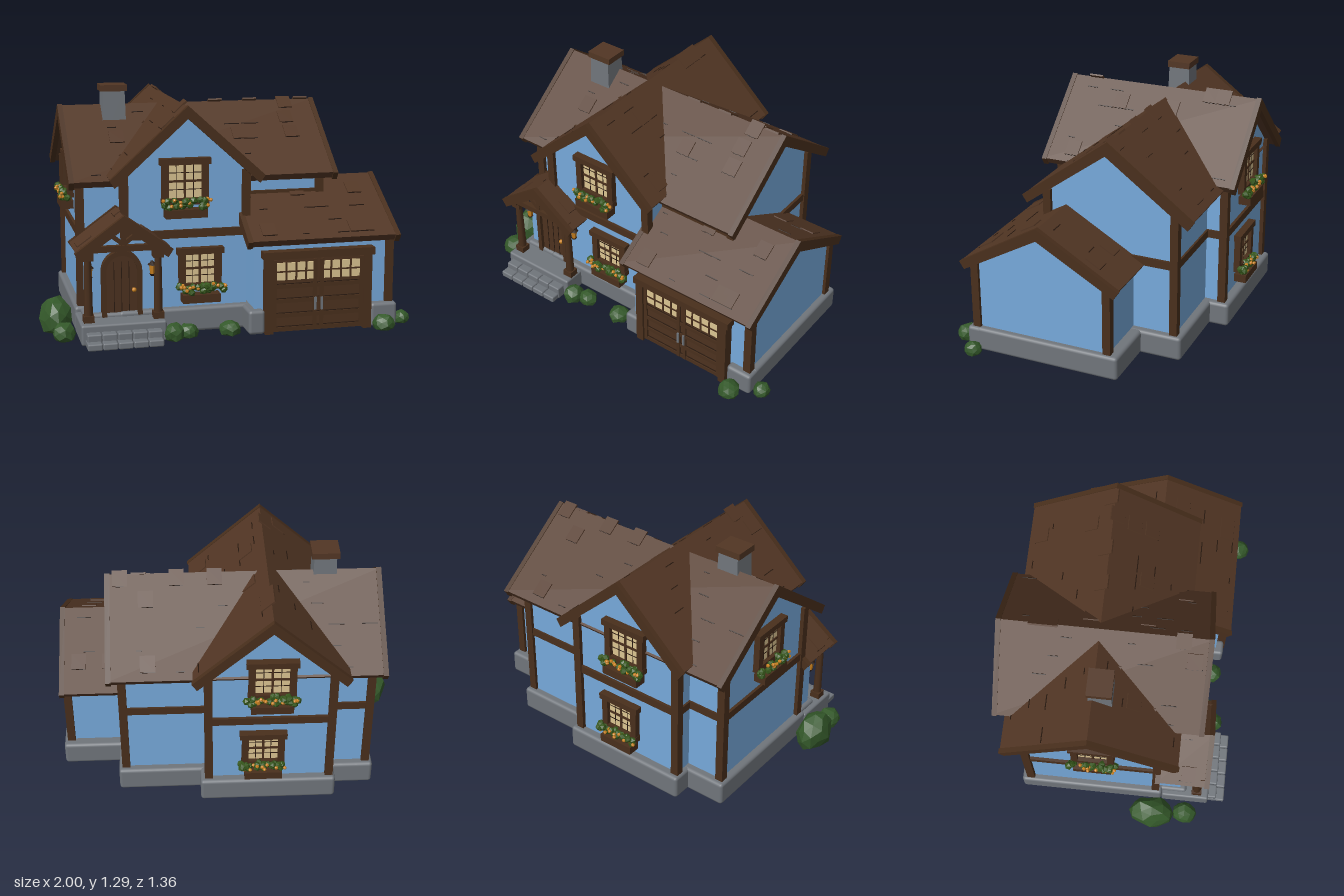
import * as THREE from 'three';
import { RoundedBoxGeometry } from 'three/addons/geometries/RoundedBoxGeometry.js';

const mat = (name, color, flatShading = false) => {
  const m = new THREE.MeshStandardMaterial({ color, flatShading });
  m.name = name;
  return m;
};
const M = {
  wall: mat('wall blue', 0x76a9db), roof: mat('roof brown', 0x523624), timber: mat('timber brown', 0x492f1c),
  door: mat('door brown', 0x4d321f), stone: mat('stone grey', 0x70757b), pane: mat('pane cream', 0xdcc592),
  bush: mat('bush green', 0x34592a, true), leaf: mat('leaf green', 0x35561a, true),
  flower: mat('flower orange', 0xc8801f, true), dark: mat('seam brown', 0x2a1a10),
};
let seed = 7;
const rnd = () => (seed = (seed * 16807) % 2147483647) / 2147483647;

export function createModel() {
  const root = new THREE.Group();
  const add = (name, geo, m, x = 0, y = 0, z = 0, parent = root) => {
    const mesh = new THREE.Mesh(geo, m);
    mesh.name = name;
    mesh.position.set(x, y, z);
    parent.add(mesh);
    return mesh;
  };
  const group = (name, x = 0, y = 0, z = 0, ry = 0, parent = root) => {
    const g = new THREE.Group();
    g.name = name;
    g.position.set(x, y, z);
    g.rotation.y = ry;
    parent.add(g);
    return g;
  };
  // box given by its low and high corners
  const span = (name, m, x0, x1, y0, y1, z0, z1, parent = root, r = 0) => {
    const s = [x1 - x0, y1 - y0, z1 - z0];
    const geo = r ? new RoundedBoxGeometry(...s, 2, r) : new THREE.BoxGeometry(...s);
    return add(name, geo, m, (x0 + x1) / 2, (y0 + y1) / 2, (z0 + z1) / 2, parent);
  };
  const extrude = (pts, z0, z1) => {
    const shape = new THREE.Shape(pts.map(p => new THREE.Vector2(...p)));
    return new THREE.ExtrudeGeometry(shape, { depth: z1 - z0, bevelEnabled: false }).translate(0, 0, z0);
  };
  const chevron = (w, peak, eave, t) =>
    [[0, peak], [-w, eave], [-w + t * 0.5, eave - t * 0.75], [0, peak - t * 1.25], [w - t * 0.5, eave - t * 0.75], [w, eave]];
  // straight square beam between two points in the xy plane
  const strut = (name, x0, y0, x1, y1, z, t, parent) => {
    const b = add(name, new THREE.BoxGeometry(Math.hypot(x1 - x0, y1 - y0), t, t), M.timber, (x0 + x1) / 2, (y0 + y1) / 2, z, parent);
    b.rotation.z = Math.atan2(y1 - y0, x1 - x0);
  };

  // gabled wing: walls, roof slab, rake boards and shingle seams, ridge along local z
  function wing(name, o) {
    const g = group(name, o.x || 0, 0, o.z || 0, o.alongX ? Math.PI / 2 : 0);
    const slope = (o.peak - o.eave) / o.w, top = o.peak - 0.04;
    const ys = top - slope * o.wall;
    add('walls', extrude([[-o.wall, 0.1], [o.wall, 0.1], [o.wall, ys], [0, top], [-o.wall, ys]], ...o.walls), M.wall, 0, 0, 0, g);
    add('roof', extrude(chevron(o.w, o.peak, o.eave, 0.045), ...o.roof), M.roof, 0, 0, 0, g);
    const [r0, r1] = o.roof;
    for (const z of [r0 - 0.006, r1 - 0.022])
      add('rakeBoard', extrude(chevron(o.w + 0.006, o.peak + 0.006, o.eave - 0.002, 0.055), z, z + 0.028), M.timber, 0, 0, 0, g);
    const a = Math.atan(slope), len = o.w / Math.cos(a);
    for (const s of [-1, 1]) {
      const side = group('roofSide', 0, o.peak, 0, 0, g);
      side.rotation.z = -s * a;
      const n = Math.round((r1 - r0) * 16);
      for (let i = 0; i < n; i++) {
        const d = s * len * (0.12 + 0.2 * Math.floor(rnd() * 5)), z = r0 + 0.07 + rnd() * (r1 - r0 - 0.14);
        add('shingleSeam', new THREE.BoxGeometry(0.005, 0.004, 0.03 + rnd() * 0.06), M.dark, d, 0.001, z, side);
        if (i % 3 === 0) add('shingle', new THREE.BoxGeometry(0.09, 0.01, 0.08), M.roof, d - s * 0.045, 0.001, z, side);
      }
    }
    return g;
  }
  wing('mainWing', { z: -0.125, alongX: true, w: 0.475, peak: 1.175, eave: 0.825, wall: 0.365, walls: [-0.78, 0.55], roof: [-0.84, 0.62] });
  wing('crossWing', { x: -0.235, w: 0.41, peak: 1.22, eave: 0.85, wall: 0.335, walls: [-0.59, 0.385], roof: [-0.66, 0.465] });
  wing('garageWing', { z: 0.135, alongX: true, w: 0.45, peak: 0.775, eave: 0.515, wall: 0.385, walls: [0.11, 0.87], roof: [0.065, 0.9] });
  wing('porchWing', { x: -0.588, w: 0.252, peak: 0.67, eave: 0.49, wall: 0.18, walls: [0.2, 0.385], roof: [0.24, 0.53] });

  // stone foundation
  const F = [[-0.82, 0.59, -0.535, 0.28], [-0.6, 0.14, -0.64, 0.425], [0.08, 0.905, -0.31, 0.51],
    [0.07, 0.16, 0.4, 0.565], [0.755, 0.905, 0.4, 0.565], [-0.79, -0.4, 0.2, 0.42]];
  F.forEach(([x0, x1, z0, z1], i) => span('foundation', M.stone, x0, x1, 0, 0.135 - i * 0.001, z0, z1, root, 0.018));

  // corner posts and floor beams
  const post = (x, z, y0, y1, t = 0.022) => span('cornerPost', M.timber, x - t, x + t, y0, y1, z - t, z + t);
  [[-0.78, 0.24, 0.12, 0.85], [-0.78, -0.485, 0.12, 0.85], [0.55, 0.24, 0.6, 0.85], [0.55, -0.485, 0.12, 0.85],
    [-0.565, 0.385, 0.53, 0.87], [0.095, 0.385, 0.53, 0.87], [-0.565, -0.59, 0.12, 0.87], [0.095, -0.59, 0.12, 0.87],
    [0.865, 0.515, 0.12, 0.53], [0.865, -0.245, 0.12, 0.53]].forEach(p => post(...p));
  const beam = (x0, x1, z0, z1, y = 0.535) => span('floorBeam', M.timber, x0 - 0.016, x1 + 0.016, y - 0.022, y + 0.022, z0 - 0.016, z1 + 0.016);
  beam(-0.565, 0.095, 0.385, 0.385);
  beam(-0.565, 0.095, -0.59, -0.59);
  beam(-0.565, -0.565, -0.59, -0.485);
  beam(0.095, 0.095, -0.59, -0.485);
  beam(-0.78, -0.565, -0.485, -0.485);
  beam(0.095, 0.55, -0.485, -0.485);
  beam(-0.78, -0.78, -0.485, 0.24);
  beam(0.55, 0.55, -0.485, -0.2);
  beam(-0.78, -0.565, 0.24, 0.24);
  beam(0.095, 0.55, 0.24, 0.24, 0.7);

  // chimney
  const stack = new THREE.CylinderGeometry(0.084, 0.096, 0.3, 4, 1).rotateY(Math.PI / 4);
  stack.computeVertexNormals();
  const chimney = add('chimney', stack.toNonIndexed(), M.stone, -0.545, 1.12, -0.085);
  chimney.geometry.computeVertexNormals();
  span('chimneyCap', M.roof, -0.62, -0.472, 1.255, 1.29, -0.152, -0.02);

  // window with frame, glazing bars and flower box, facing local +z, origin at the pane centre
  function windowUnit(x, y, z, ry, w, h) {
    const g = group('window', x, y, z, ry);
    const a = w / 2, b = h / 2;
    span('pane', M.pane, -a, a, -b, b, 0, 0.012, g);
    for (const s of [-1, 1]) span('frameSide', M.timber, s * (a + 0.015) - 0.018, s * (a + 0.015) + 0.018, -b - 0.03, b + 0.01, 0, 0.035, g);
    span('frameTop', M.timber, -a - 0.045, a + 0.045, b, b + 0.034, 0, 0.042, g);
    span('frameSill', M.timber, -a - 0.035, a + 0.035, -b - 0.035, -b, 0, 0.035, g);
    span('bar', M.timber, -0.006, 0.006, -b, b, 0, 0.018, g);
    span('bar', M.timber, -a, a, -0.006, 0.006, 0, 0.018, g);
    for (const s of [-1, 1]) {
      span('thinBar', M.dark, s * a / 2 - 0.002, s * a / 2 + 0.002, -b, b, 0, 0.014, g);
      span('thinBar', M.dark, -a, a, s * b / 2 - 0.002, s * b / 2 + 0.002, 0, 0.014, g);
    }
    span('flowerBox', M.timber, -a - 0.02, a + 0.02, -b - 0.1, -b - 0.055, 0, 0.07, g);
    for (let i = 0; i < 34; i++) {
      const bloom = i % 3 === 0, r = bloom ? 0.011 : 0.021;
      add(bloom ? 'bloom' : 'leaf', new THREE.IcosahedronGeometry(r, 0), bloom ? M.flower : M.leaf,
        (rnd() - 0.5) * (w + 0.09), -b - 0.045 + rnd() * 0.04 + (bloom ? 0.01 : 0), 0.035 + rnd() * 0.03 + (bloom ? 0.018 : 0), g)
        .rotation.set(rnd() * 3, rnd() * 3, 0);
    }
  }
  windowUnit(-0.24, 0.82, 0.385, 0, 0.185, 0.18);
  windowUnit(-0.16, 0.345, 0.385, 0, 0.165, 0.16);
  windowUnit(-0.24, 0.82, -0.59, Math.PI, 0.185, 0.18);
  windowUnit(-0.2, 0.345, -0.59, Math.PI, 0.165, 0.16);
  windowUnit(-0.78, 0.8, -0.11, -Math.PI / 2, 0.165, 0.17);

  // garage door
  const gd = group('garageDoor', 0.455, 0, 0.52);
  span('doorPanel', M.door, -0.27, 0.27, 0.005, 0.42, 0, 0.03, gd);
  span('lintel', M.timber, -0.31, 0.31, 0.41, 0.45, 0, 0.06, gd);
  for (const s of [-1, 1]) {
    span('jamb', M.timber, s * 0.275 - 0.022, s * 0.275 + 0.022, 0, 0.42, 0, 0.055, gd);
    span('garagePanes', M.pane, s * 0.125 - 0.11, s * 0.125 + 0.11, 0.29, 0.385, 0.03, 0.036, gd);
    for (const k of [-1, 0, 1]) span('paneBar', M.timber, s * 0.125 + k * 0.055 - 0.005, s * 0.125 + k * 0.055 + 0.005, 0.28, 0.39, 0.03, 0.04, gd);
    span('paneBar', M.timber, s * 0.125 - 0.115, s * 0.125 + 0.115, 0.333, 0.341, 0.03, 0.04, gd);
    for (const x of [0.012, 0.236]) span('stile', M.timber, s * (x + 0.007) - 0.01, s * (x + 0.007) + 0.01, 0.01, 0.4, 0.03, 0.042, gd);
    span('handle', M.stone, s * 0.018 - 0.006, s * 0.018 + 0.006, 0.12, 0.19, 0.04, 0.05, gd);
  }
  for (const y of [0.01, 0.085, 0.165, 0.245]) {
    span('rail', M.timber, -0.25, 0.25, y, y + 0.022, 0.03, 0.04, gd);
    span('railSeam', M.dark, -0.24, 0.24, y + 0.022, y + 0.026, 0.03, 0.034, gd);
  }

  // arched front door
  const arch = (w, h) => {
    const s = new THREE.Shape();
    s.moveTo(-w, 0).lineTo(w, 0).lineTo(w, h - w).absarc(0, h - w, w, 0, Math.PI).lineTo(-w, 0);
    return s;
  };
  const fd = group('frontDoor', -0.585, 0.105, 0.385);
  const frame = arch(0.108, 0.36);
  frame.holes.push(arch(0.082, 0.334));
  const solid = (s, depth) => new THREE.ExtrudeGeometry(s, { depth, bevelEnabled: false, curveSegments: 14 });
  add('doorFrame', solid(frame, 0.04), M.timber, 0, 0, 0, fd);
  add('doorLeaf', solid(arch(0.085, 0.336), 0.02), M.door, 0, 0, 0, fd);
  for (const x of [-0.04, 0, 0.04]) span('doorSeam', M.dark, x - 0.0015, x + 0.0015, 0, 0.3, 0.018, 0.023, fd);
  add('doorKnob', new THREE.SphereGeometry(0.013, 10, 8), M.flower, 0.065, 0.145, 0.03, fd);

  // porch: platform, block steps, posts, truss and lanterns
  span('porchFloor', M.stone, -0.82, -0.37, 0, 0.11, 0.28, 0.55, root, 0.012);
  for (let row = 0; row < 2; row++)
    for (let i = 0; i < 5; i++) {
      const x = -0.8 + i * 0.08 + row * 0.004;
      span('stepBlock', M.stone, x, x + 0.077, 0, row ? 0.073 : 0.037, 0.52, row ? 0.598 : 0.645, root, 0.008);
    }
  const porch = group('porchFrame', -0.588, 0, 0.48);
  for (const s of [-1, 1]) {
    const x = s * 0.185;
    add('porchPost', new THREE.CylinderGeometry(0.018, 0.024, 0.4, 8), M.timber, x, 0.31, 0, porch);
    for (const y of [0.1, 0.44]) span('postBlock', M.timber, x - 0.028, x + 0.028, y, y + 0.045, -0.028, 0.028, porch);
    span('sideBeam', M.timber, x - 0.02, x + 0.02, 0.475, 0.51, -0.2, 0.04, porch);
    strut('trussBrace', 0, 0.52, s * 0.09, 0.59, 0.02, 0.022, porch);
    // lanterns on the wall beside the door
    const l = group('lantern', s * 0.168, 0.355, -0.07, 0, porch);
    add('lanternGlass', new THREE.CylinderGeometry(0.019, 0.013, 0.05, 6), M.flower, 0, 0, 0, l);
    add('lanternCap', new THREE.ConeGeometry(0.027, 0.025, 6), M.dark, 0, 0.037, 0, l);
    add('lanternBase', new THREE.CylinderGeometry(0.018, 0.01, 0.012, 6), M.dark, 0, -0.03, 0, l);
    span('lanternArm', M.dark, -0.005, 0.005, 0.03, 0.04, -0.03, 0, l);
  }
  strut('trussTie', -0.22, 0.5, 0.22, 0.5, 0.02, 0.032, porch);
  strut('kingPost', 0, 0.5, 0, 0.63, 0.02, 0.026, porch);

  // bushes: lumpy low-poly spheres resting on the ground
  [[-0.915, 0.23, 0.085, 0.19, 0.13], [-0.895, 0.42, 0.06, 0.1, 0.07], [-0.33, 0.54, 0.055, 0.095, 0.06], [-0.25, 0.51, 0.055, 0.075, 0.05],
    [-0.02, 0.51, 0.06, 0.075, 0.06], [0.81, 0.615, 0.06, 0.085, 0.06], [0.95, 0.51, 0.045, 0.07, 0.05]].forEach(([x, z, rx, h, rz], i) => {
    const geo = new THREE.IcosahedronGeometry(1, 1), p = geo.attributes.position, v = new THREE.Vector3();
    for (let k = 0; k < p.count; k++) {
      v.fromBufferAttribute(p, k);
      v.multiplyScalar(1 + 0.1 * Math.sin(v.x * 5 + i * 2) * Math.cos(v.z * 4 + v.y * 3 + i));
      p.setXYZ(k, v.x * rx, Math.max(v.y, -0.6) * h * 0.62 + 0.372 * h, v.z * rz);
    }
    geo.computeVertexNormals();
    add('bush', geo, M.bush, x, 0, z);
  });
  return root;
}
